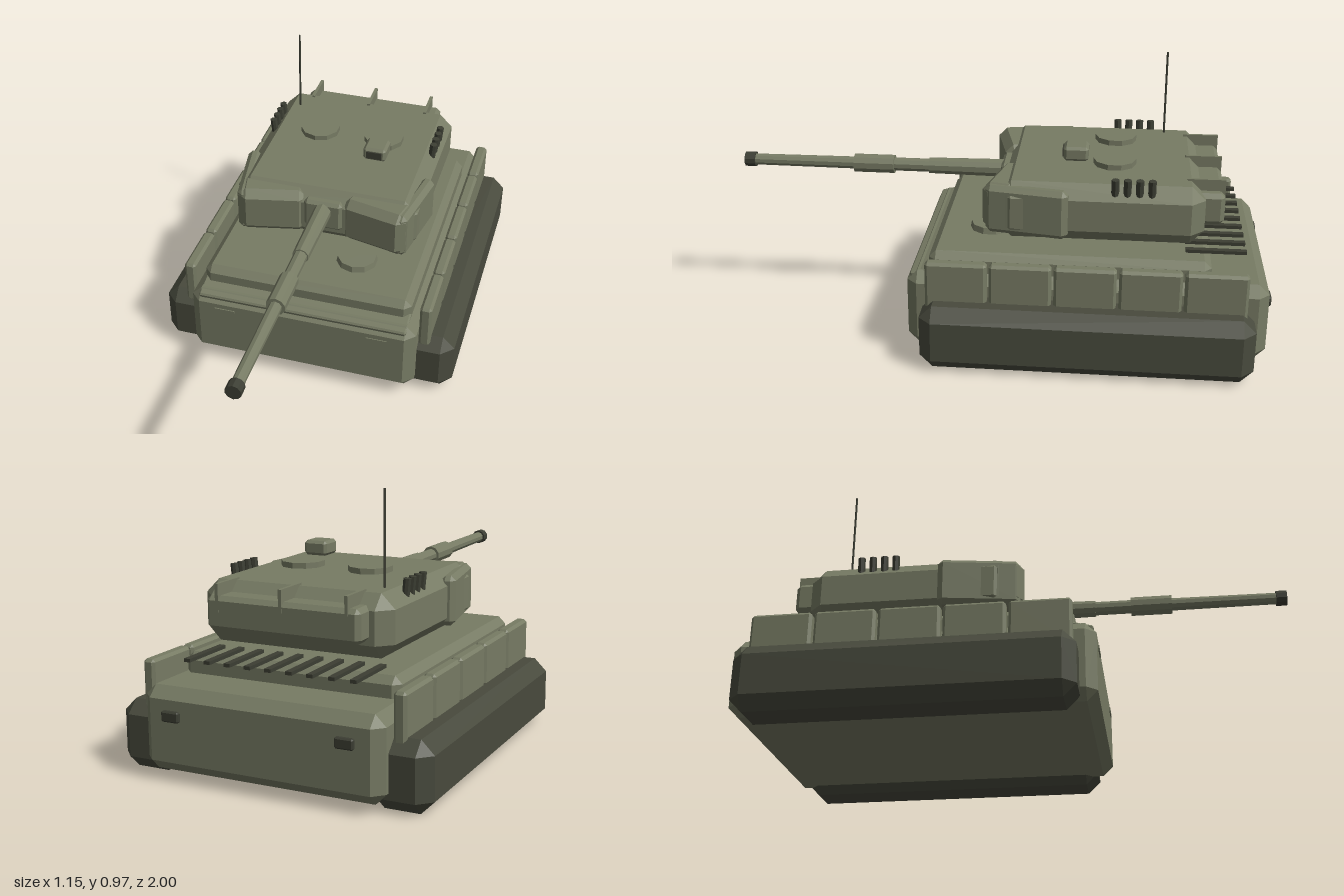
import * as THREE from 'three';
import { ConvexGeometry } from 'three/addons/geometries/ConvexGeometry.js';

const mat = (name, color) => {
  const m = new THREE.MeshStandardMaterial({ color });
  m.name = name;
  return m;
};

export function createModel() {
  const olive = mat('olive paint', 0x777b64);
  const trackDark = mat('dark track', 0x484a3d);
  const gunmetal = mat('dark fittings', 0x3c3e33);

  const model = new THREE.Group();
  model.name = 'tank';
  const hull = new THREE.Group();
  hull.name = 'hull';
  const turret = new THREE.Group();
  turret.name = 'turret';
  model.add(hull, turret);

  const add = (parent, name, geometry, material, x, y, z) => {
    const mesh = new THREE.Mesh(geometry, material);
    mesh.name = name;
    mesh.position.set(x, y, z);
    parent.add(mesh);
    return mesh;
  };

  // Box with flat chamfers on every edge
  const chamferBox = (w, h, d, c) => {
    const pts = [];
    for (const x of [-1, 1]) for (const y of [-1, 1]) for (const z of [-1, 1]) {
      for (const [a, b, e] of [[0, c, c], [c, 0, c], [c, c, 0]]) {
        pts.push(new THREE.Vector3(x * (w / 2 - a), y * (h / 2 - b), z * (d / 2 - e)));
      }
    }
    return new ConvexGeometry(pts);
  };
  // Chamfered box given by its limits on each axis
  const block = (parent, name, material, [x0, x1], [y0, y1], [z0, z1], c) =>
    add(parent, name, chamferBox(x1 - x0, y1 - y0, z1 - z0, c), material,
      (x0 + x1) / 2, (y0 + y1) / 2, (z0 + z1) / 2);
  const cylinder = (r0, r1, h, n) => {
    const g = new THREE.CylinderGeometry(r0, r1, h, n).toNonIndexed();
    g.computeVertexNormals();
    return g;
  };

  // Hull body, sloped front plate and upper deck
  block(hull, 'hullBody', olive, [-0.44, 0.44], [0.03, 0.32], [-0.985, 0.305], 0.038);
  const glacis = add(hull, 'frontPlate', chamferBox(0.81, 0.03, 0.12, 0.006), olive, 0, 0.31, 0.235);
  glacis.rotation.x = 0.25;
  block(hull, 'upperDeck', olive, [-0.405, 0.405], [0.27, 0.39], [-0.78, 0.228], 0.026);
  add(hull, 'driverHatch', cylinder(0.075, 0.08, 0.026, 10), olive, 0.147, 0.4, 0.025);

  // Engine louvres over the rear deck
  for (let i = -4; i <= 4; i++) {
    add(hull, 'engineLouvre', new THREE.BoxGeometry(0.023, 0.012, 0.215), gunmetal, i * 0.0765, 0.399, -0.797);
  }

  for (const s of [-1, 1]) {
    // Tracks
    add(hull, 'track', chamferBox(0.215, 0.24, 1.18, 0.046), trackDark, s * 0.4675, 0.12, -0.345);
    // Side skirt panels
    for (let i = 0; i < 5; i++) {
      add(hull, 'skirtPanel', chamferBox(0.045, 0.18, 0.22, 0.01), olive, s * 0.4625, 0.295, 0.119 - i * 0.2285);
    }
    // Rear lights and front brackets
    block(hull, 'rearLight', gunmetal, [s * 0.318 - 0.033, s * 0.318 + 0.033], [0.21, 0.247], [-1, -0.97], 0.005);
    add(hull, 'frontBracket', new THREE.BoxGeometry(0.08, 0.013, 0.02), olive, s * 0.298, 0.257, 0.299);
  }

  // Turret shell and gun mount
  block(turret, 'turretBody', olive, [-0.355, 0.355], [0.425, 0.64], [-0.75, -0.012], 0.05);
  block(turret, 'gunMount', olive, [-0.075, 0.075], [0.49, 0.61], [-0.12, 0], 0.012);

  // Angled armour and smoke launchers on both sides
  for (const s of [-1, 1]) {
    const cheek = add(turret, 'cheekArmour', chamferBox(0.265, 0.185, 0.13, 0.03), olive, s * 0.208, 0.537, -0.044);
    cheek.rotation.y = -s * 0.22;
    const side = add(turret, 'sideArmour', chamferBox(0.055, 0.18, 0.3, 0.018), olive, s * 0.329, 0.535, -0.12);
    side.rotation.y = -s * 0.17;
    for (let i = 0; i < 4; i++) {
      const tube = add(turret, 'smokeLauncher', cylinder(0.014, 0.014, 0.062, 8), gunmetal,
        s * 0.33, 0.636, -0.56 + i * 0.043);
      tube.rotation.z = -s * 0.1;
    }
    // Roof hatches
    add(turret, 'roofHatch', cylinder(0.078, 0.078, 0.02, 10), olive, s * 0.132, 0.664, -0.425);
  }

  // Rear stowage bin with ribs
  block(turret, 'stowageBin', olive, [-0.285, 0.285], [0.488, 0.605], [-0.82, -0.7], 0.016);
  for (const x of [-0.24, 0, 0.24]) {
    add(turret, 'binRib', new THREE.BoxGeometry(0.012, 0.1, 0.135), olive, x, 0.597, -0.753);
  }

  // Periscope sight
  block(turret, 'sightHousing', olive, [0.092, 0.182], [0.673, 0.726], [-0.33, -0.24], 0.01);
  add(turret, 'sightLens', new THREE.BoxGeometry(0.06, 0.028, 0.008), gunmetal, 0.137, 0.7, -0.239);

  // Antenna
  add(turret, 'antenna', cylinder(0.004, 0.004, 0.33, 6), gunmetal, -0.275, 0.801, -0.612);

  // Gun barrel in steps: start, end, rear radius, front radius
  const gun = new THREE.Group();
  gun.name = 'gun';
  gun.position.y = 0.57;
  turret.add(gun);
  const steps = [
    ['barrelBase', -0.03, 0.28, 0.035, 0.031, olive],
    ['barrelMiddle', 0.28, 0.42, 0.026, 0.026, olive],
    ['barrelSleeve', 0.415, 0.57, 0.036, 0.036, olive],
    ['barrelFront', 0.57, 0.97, 0.024, 0.022, olive],
    ['muzzle', 0.96, 1, 0.029, 0.029, gunmetal],
  ];
  for (const [name, z0, z1, r0, r1, m] of steps) {
    const part = add(gun, name, cylinder(r1, r0, z1 - z0, 10), m, 0, 0, (z0 + z1) / 2);
    part.rotation.x = Math.PI / 2;
  }
  return model;
}
